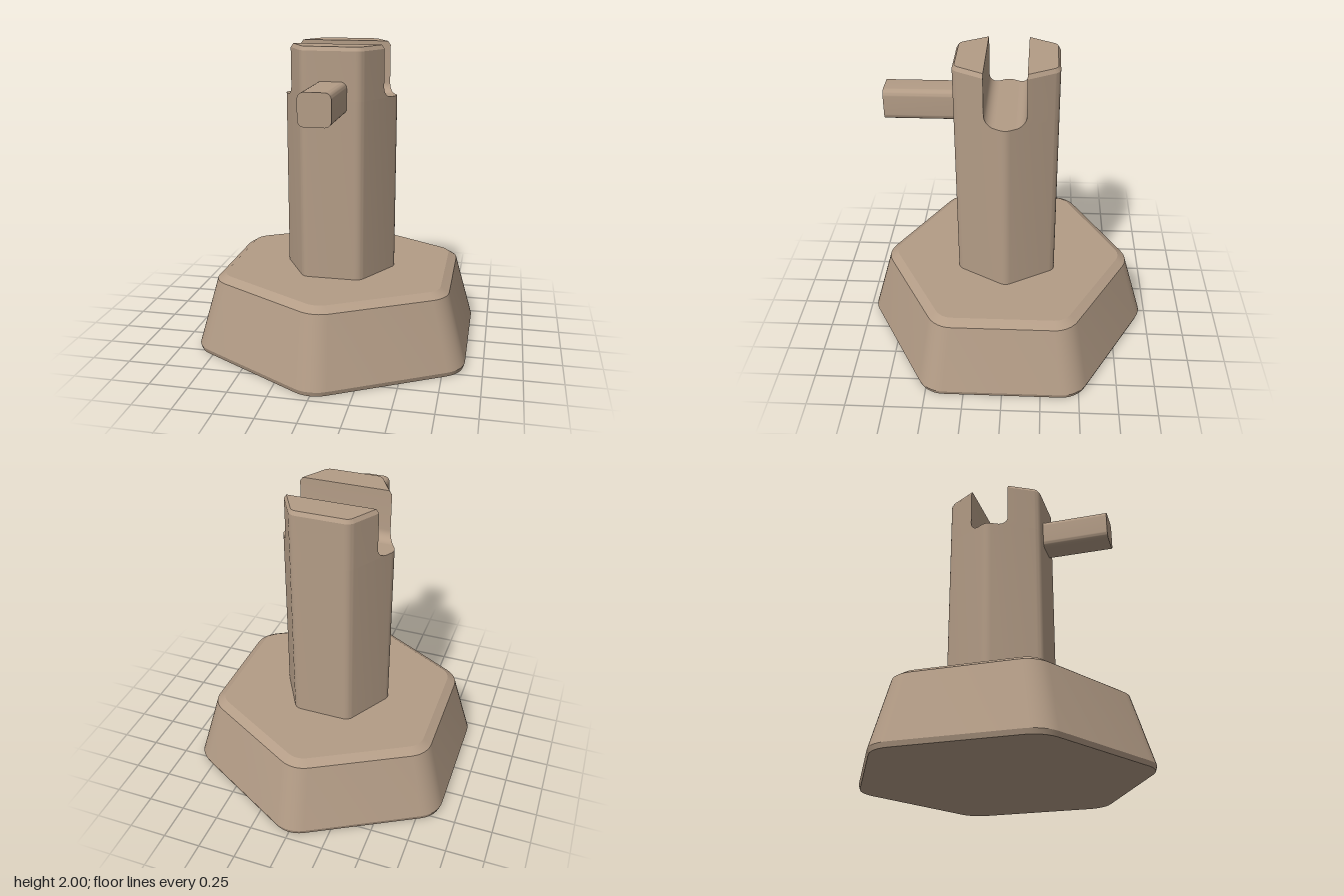
import * as THREE from 'three';
import { toCreasedNormals } from 'three/addons/utils/BufferGeometryUtils.js';

const COS30 = Math.cos(Math.PI / 6);

// One rounded corner of a hexagon, as points in the horizontal plane
function corner(apothem, radius, angle, y, zScale = 1) {
  const d = (apothem - radius) / COS30;
  const points = [];
  for (let i = 0; i <= 6; i++) {
    const t = angle + (i / 6 - 0.5) * Math.PI / 3;
    points.push(new THREE.Vector3(
      d * Math.cos(angle) + radius * Math.cos(t), y,
      (d * Math.sin(angle) + radius * Math.sin(t)) * zScale));
  }
  return points;
}

// Closed rounded hexagon ring
function hexRing(apothem, radius, start, y, zScale = 1) {
  const ring = [];
  for (let k = 0; k < 6; k++) ring.push(...corner(apothem, radius, start + k * Math.PI / 3, y, zScale));
  return ring;
}

// Skin a stack of convex rings, closed at both ends
function loft(rings) {
  const pos = [];
  const tri = (...pts) => pts.forEach((p) => pos.push(p.x, p.y, p.z));
  const centre = (ring) => ring.reduce((s, p) => s.add(p), new THREE.Vector3()).divideScalar(ring.length);
  const n = rings[0].length;
  const first = rings[0], last = rings[rings.length - 1];
  const low = centre(first), high = centre(last);
  for (let i = 0; i < n; i++) {
    const j = (i + 1) % n;
    for (let k = 0; k < rings.length - 1; k++) {
      const a = rings[k], b = rings[k + 1];
      tri(a[i], b[i], b[j]);
      tri(a[i], b[j], a[j]);
    }
    tri(low, first[i], first[j]);
    tri(high, last[j], last[i]);
  }
  const geometry = new THREE.BufferGeometry();
  geometry.setAttribute('position', new THREE.Float32BufferAttribute(pos, 3));
  return toCreasedNormals(geometry, 0.45);
}

export function createModel() {
  const model = new THREE.Group();
  const tan = new THREE.MeshStandardMaterial({ color: 0xb39c86 });
  tan.name = 'tan';
  const add = (name, geometry) => {
    const mesh = new THREE.Mesh(geometry, tan);
    mesh.name = name;
    model.add(mesh);
    return mesh;
  };

  // Tapered base with a bottom lip and a bevelled top: [apothem, radius, y]
  const baseProfile = [[0.875, 0.19, 0], [0.885, 0.2, 0.03], [0.765, 0.18, 0.475], [0.71, 0.125, 0.51]];
  add('base', loft(baseProfile.map(([a, r, y]) => hexRing(a, r, Math.PI / 6, y, 0.965))));

  // Hexagonal post up to the slot floor
  const A = 0.325, R = 0.065, FLOOR = 1.67, SLOT = 0.13;
  add('post', loft([hexRing(A, R, 0, 0.5), hexRing(A, R, 0, FLOOR)]));

  // Prongs either side of the slot: the hexagon cut off at z = cut
  const prongRing = (a, r, cut, y) => {
    const x = (a - cut / 2) / COS30;
    return [
      new THREE.Vector3(x, y, cut),
      ...corner(a, r, Math.PI / 3, y),
      ...corner(a, r, 2 * Math.PI / 3, y),
      new THREE.Vector3(-x, y, cut),
    ];
  };
  const rings = [];
  for (let i = 0; i <= 8; i++) { // rounded inner corner of the slot
    const t = (i / 8) * Math.PI / 2;
    rings.push(prongRing(A, R, SLOT - R + R * Math.sin(t), FLOOR + R * (1 - Math.cos(t))));
  }
  rings.push(prongRing(A, R, SLOT, 1.975), prongRing(A - 0.015, R - 0.015, SLOT, 2));
  const prong = loft(rings);
  add('frontProng', prong);
  add('backProng', prong).rotation.y = Math.PI;

  // Square peg with rounded edges, pointing forward
  const h = 0.1, r = 0.04;
  const shape = new THREE.Shape();
  shape.absarc(h - r, h - r, r, 0, Math.PI / 2);
  shape.absarc(r - h, h - r, r, Math.PI / 2, Math.PI);
  shape.absarc(r - h, r - h, r, Math.PI, 1.5 * Math.PI);
  shape.absarc(h - r, r - h, r, 1.5 * Math.PI, 2 * Math.PI);
  const peg = new THREE.ExtrudeGeometry(shape, { depth: 0.465, bevelEnabled: false, curveSegments: 6 });
  add('peg', toCreasedNormals(peg, 0.45)).position.set(0, 1.69, 0.3);

  return model;
}
